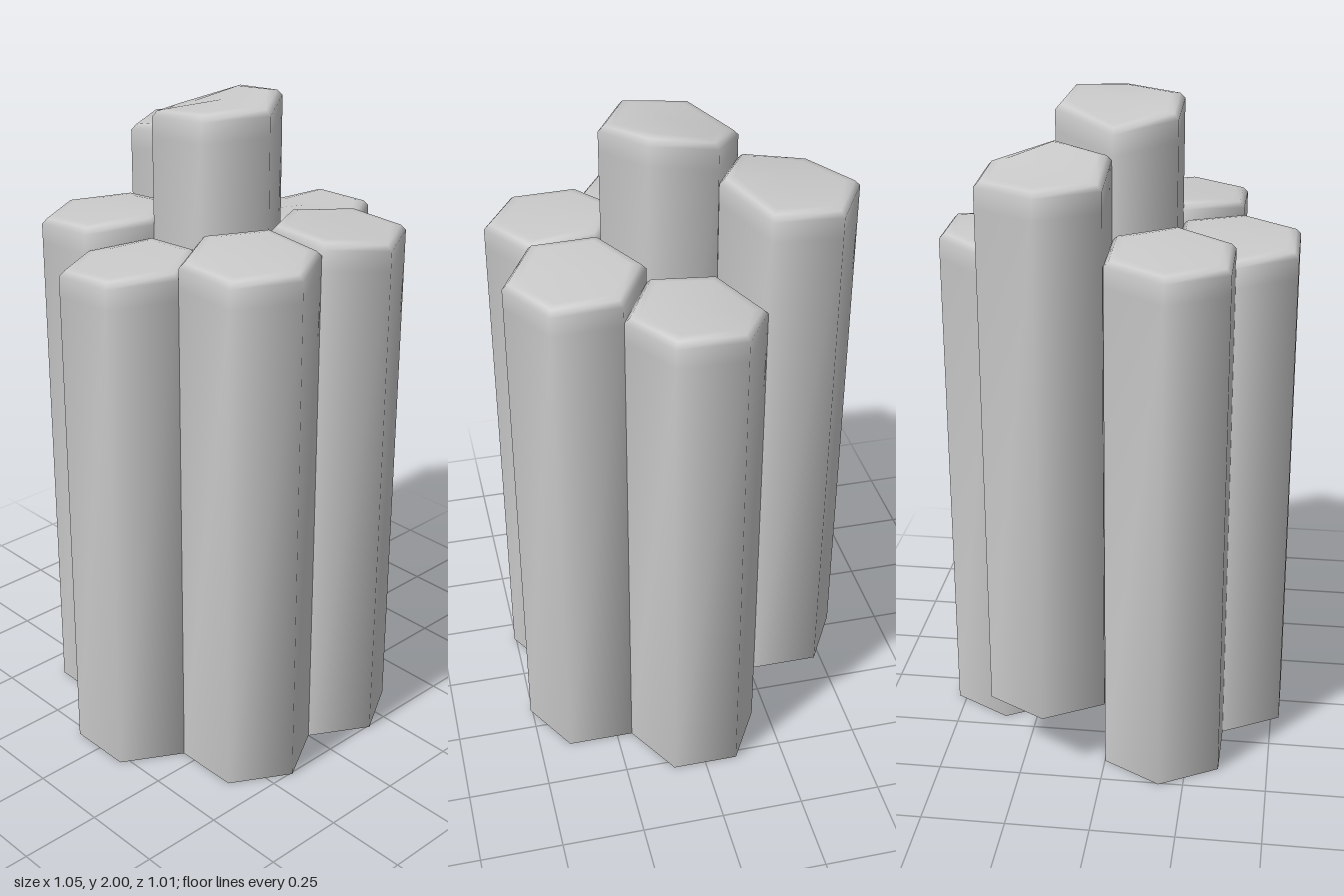
import * as THREE from 'three';

const R = 0.202; // corner radius of a column

// name, centre x, centre z, bottom y, rim heights (front corner first, then round by the model's left)
const COLUMNS = [
  ['centreColumn', 0, 0, 0.36, [1.985, 2.0, 1.98, 1.935, 1.96, 1.98]],
  ['frontLeftColumn', 0.176, 0.304, 0, [1.63, 1.63, 1.635, 1.645, 1.655, 1.65]],
  ['frontRightColumn', -0.176, 0.304, 0, [1.63, 1.635, 1.65, 1.645, 1.63, 1.625]],
  ['leftColumn', 0.351, 0, 0, [1.585, 1.595, 1.59, 1.56, 1.585, 1.6]],
  ['rightColumn', -0.351, 0, 0, [1.595, 1.6, 1.59, 1.565, 1.57, 1.585]],
  ['backLeftColumn', 0.176, -0.304, 0.205, [1.88, 1.84, 1.83, 1.83, 1.83, 1.865]],
  ['backRightColumn', -0.176, -0.304, 0, [1.64, 1.635, 1.62, 1.61, 1.61, 1.625]],
];

// Hexagonal shaft, open below, with a softly bevelled uneven cap
function columnGeometry(bottom, heights, cornerScale) {
  const positions = [];
  const index = [];
  const rings = [
    { drop: null, inset: 0 },
    { drop: 0.08, inset: 0 },
    { drop: 0.02, inset: 0 },
    { drop: 0.004, inset: 0.016 },
    { drop: 0, inset: 0.045 },
  ];
  for (const { drop, inset } of rings) {
    for (let i = 0; i < 6; i++) {
      const a = (i * Math.PI) / 3;
      const r = R * cornerScale[i] - inset;
      const y = drop === null ? bottom : heights[i] - drop;
      positions.push(r * Math.sin(a), y, r * Math.cos(a));
    }
  }
  for (let k = 0; k < rings.length - 1; k++) {
    for (let i = 0; i < 6; i++) {
      const j = (i + 1) % 6;
      const a = k * 6 + i, b = k * 6 + j;
      index.push(a, b, b + 6, a, b + 6, a + 6);
    }
  }
  // cap fan
  const mid = heights.reduce((s, h) => s + h, 0) / 6;
  const apex = positions.length / 3;
  positions.push(0, mid + 0.004, 0);
  const last = (rings.length - 1) * 6;
  for (let i = 0; i < 6; i++) index.push(last + i, last + ((i + 1) % 6), apex);

  const geometry = new THREE.BufferGeometry();
  geometry.setAttribute('position', new THREE.Float32BufferAttribute(positions, 3));
  geometry.setIndex(index);
  geometry.computeVertexNormals();
  return geometry;
}

export function createModel() {
  const group = new THREE.Group();
  group.name = 'basaltColumns';
  const material = new THREE.MeshStandardMaterial({ color: 0xcccccc, side: THREE.DoubleSide });
  const regular = [1, 1, 1, 1, 1, 1];
  const chipped = [0.97, 0.88, 1, 1, 1, 1]; // the centre column has one corner pulled in

  for (const [name, x, z, bottom, heights] of COLUMNS) {
    const scale = name === 'centreColumn' ? chipped : regular;
    const mesh = new THREE.Mesh(columnGeometry(bottom, heights, scale), material);
    mesh.name = name;
    mesh.position.set(x, 0, z);
    group.add(mesh);
  }
  return group;
}
